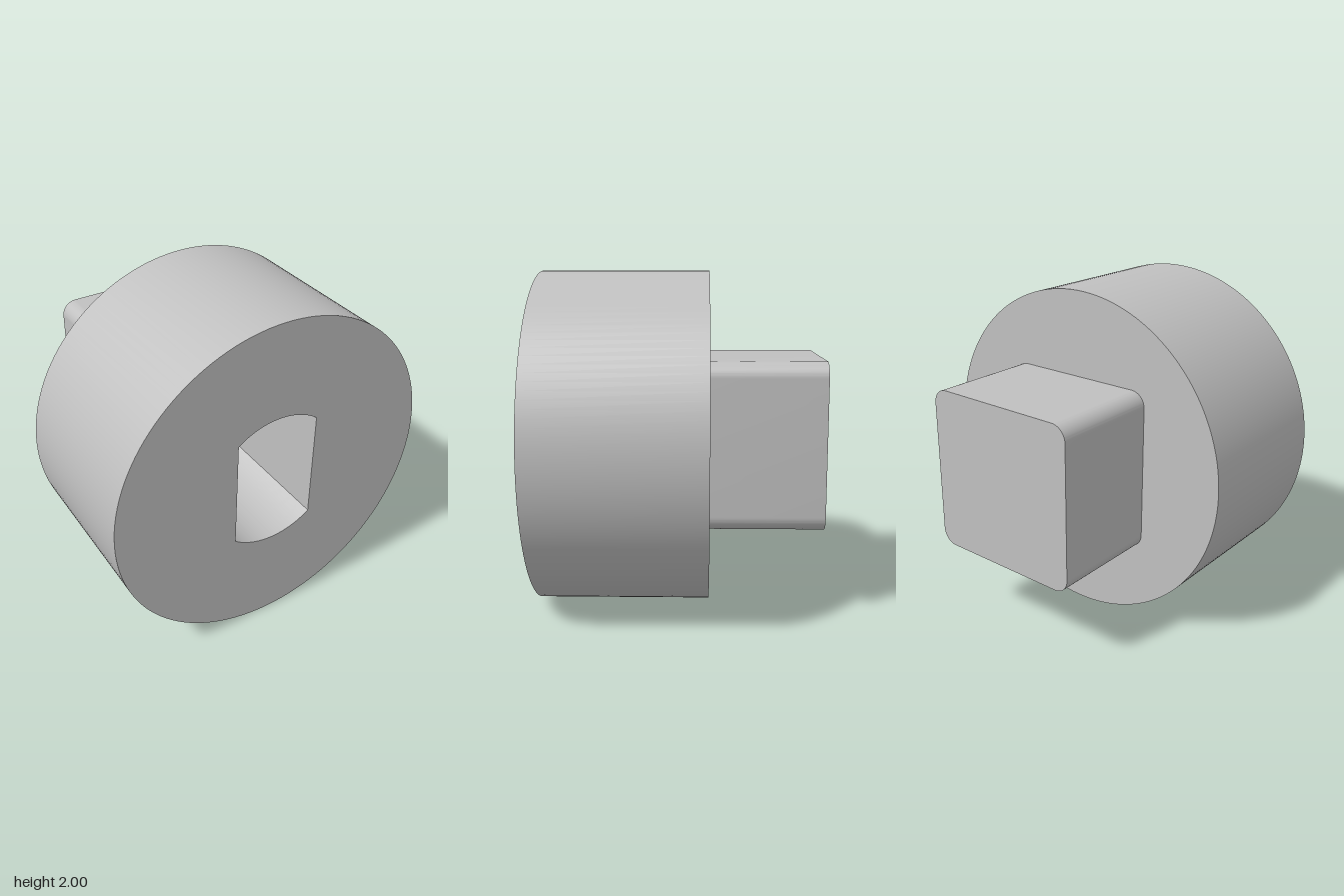
import * as THREE from 'three';
import { toCreasedNormals } from 'three/addons/utils/BufferGeometryUtils.js';

const CENTRE_Y = 1;

// Extrude a shape along z from zBack, smoothing curves and keeping edges sharp
function extrude(name, shape, zBack, depth, curveSegments, material) {
  const geometry = new THREE.ExtrudeGeometry(shape, { depth, curveSegments, bevelEnabled: false });
  const mesh = new THREE.Mesh(toCreasedNormals(geometry, 0.5), material);
  mesh.name = name;
  mesh.position.set(0, CENTRE_Y, zBack);
  return mesh;
}

// Square with rounded corners, centred on the origin
function roundedSquare(h, r) {
  const s = new THREE.Shape();
  const c = h - r;
  s.absarc(c, c, r, 0, Math.PI / 2);
  s.absarc(-c, c, r, Math.PI / 2, Math.PI);
  s.absarc(-c, -c, r, Math.PI, Math.PI * 1.5);
  s.absarc(c, -c, r, Math.PI * 1.5, Math.PI * 2);
  s.closePath();
  return s;
}

// Circle cut by two upright flats
function doubleFlat(r, halfWidth) {
  const p = new THREE.Path();
  const a = Math.acos(halfWidth / r);
  p.absarc(0, 0, r, a, Math.PI - a);
  p.absarc(0, 0, r, Math.PI + a, Math.PI * 2 - a);
  p.closePath();
  return p;
}

export function createModel() {
  const group = new THREE.Group();
  group.name = 'driveAdapter';
  const steel = new THREE.MeshStandardMaterial({ color: 0xc0c0c0 });
  steel.name = 'greySteel';

  // Round body with the double-flat socket
  const disc = new THREE.Shape();
  disc.absarc(0, 0, 1, 0, Math.PI * 2);
  disc.holes.push(doubleFlat(0.42, 0.255));
  group.add(extrude('roundBody', disc, -0.165, 1, 64, steel));

  // Square drive at the back; its front face is the socket floor
  group.add(extrude('squareDrive', roundedSquare(0.49, 0.09), -0.835, 0.67, 10, steel));

  return group;
}
